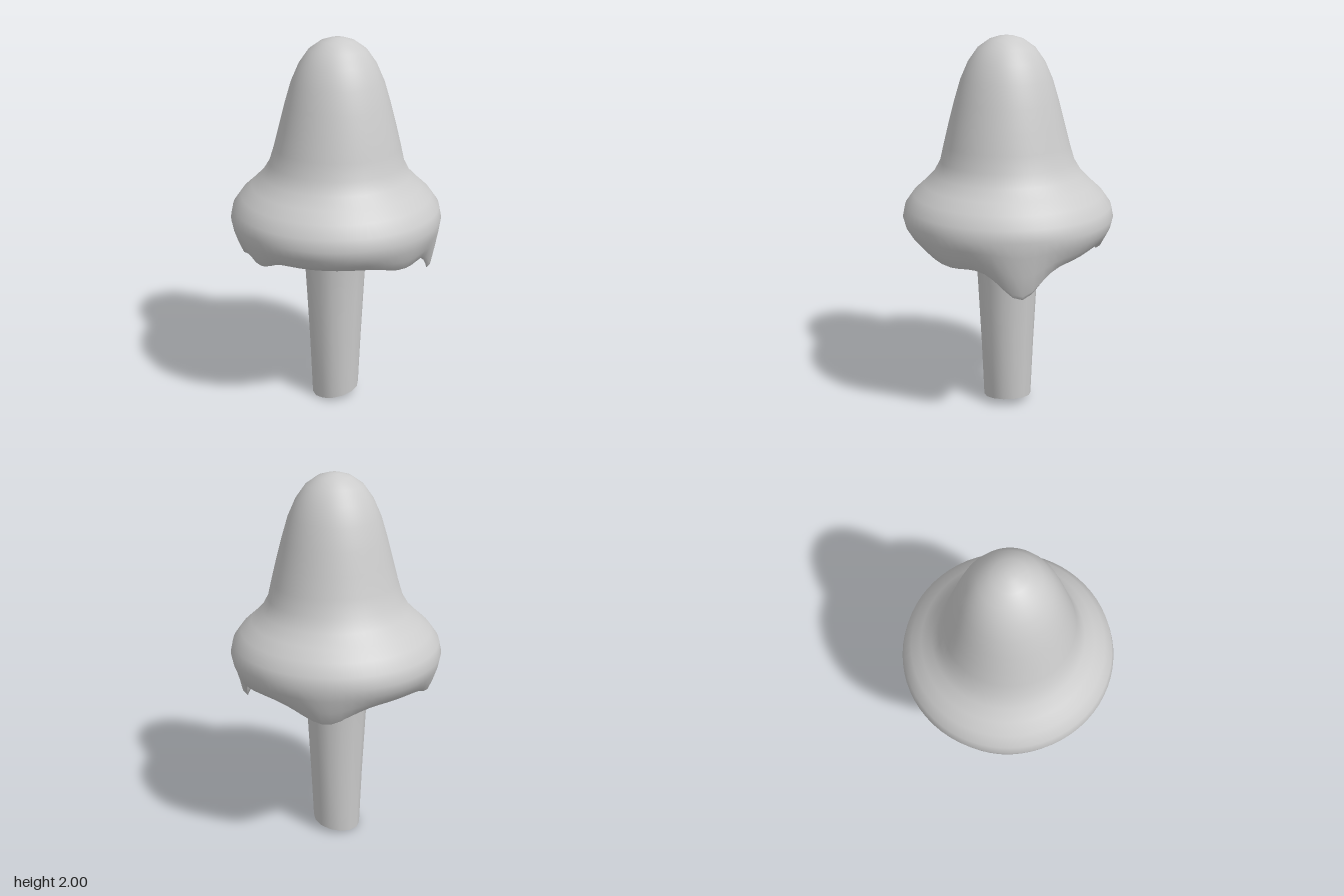
import * as THREE from 'three';
import { mergeVertices } from 'three/addons/utils/BufferGeometryUtils.js';

const material = new THREE.MeshStandardMaterial({ color: 0xcccccc, side: THREE.DoubleSide });

// Drips along the cap rim: angle from +z towards +x (degrees), drop, width
const drips = [
  [44, 0.18, 11], [24, 0.02, 9], [0, 0.05, 13], [-97, 0.05, 8],
  [-133, 0.085, 14], [137, 0.09, 13], [72, 0.025, 12],
];

function dripAt(angle) {
  let drop = 0;
  for (const [deg, depth, width] of drips) {
    let d = angle * THREE.MathUtils.RAD2DEG - deg;
    d -= 360 * Math.round(d / 360);
    drop += depth * Math.exp(-0.5 * (d / width) ** 2);
  }
  return drop;
}

// Lathe a profile, move its vertices by a rule, then smooth across the seam
function latheMesh(name, profile, segments, rule) {
  const geo = new THREE.LatheGeometry(profile.map(([r, y]) => new THREE.Vector2(r, y)), segments);
  geo.deleteAttribute('uv');
  geo.deleteAttribute('normal');
  const pos = geo.attributes.position;
  const v = new THREE.Vector3();
  for (let i = 0; i < pos.count; i++) {
    v.fromBufferAttribute(pos, i);
    rule(v, i % profile.length);
    pos.setXYZ(i, v.x, v.y, v.z);
  }
  const merged = mergeVertices(geo, 1e-4);
  merged.computeVertexNormals();
  const mesh = new THREE.Mesh(merged, material);
  mesh.name = name;
  return mesh;
}

export function createModel() {
  const group = new THREE.Group();
  group.name = 'mushroom';

  // Hollow tapered stem with a slanted open foot, flaring into the cap
  const stemProfile = [
    [0.13, 0.027], [0.143, 0.35], [0.158, 0.65], [0.169, 0.85],
    [0.183, 0.94], [0.212, 1.03], [0.255, 1.09], [0.31, 1.125],
  ];
  group.add(latheMesh('stem', stemProfile, 14, (v, row) => {
    if (row === 0) v.y += 0.13 * (v.x + v.z);
    // The shaft sits slightly left of the axis and is a little flatter in depth
    if (row < 5) {
      v.x -= 0.004;
      v.z *= 0.97;
    }
  }));

  // Cap: [radius, height, share of the drip], from hollow underside over the rim to the tip
  const capProfile = [
    [0.3, 1.125, 0], [0.35, 1.128, 0], [0.395, 1.105, 0], [0.432, 1.06, 0.1], [0.452, 1.01, 0.35],
    [0.46, 0.97, 0.75], [0.465, 0.95, 1], [0.485, 0.955, 0.9], [0.513, 0.985, 0.5],
    [0.538, 1.025, 0.15], [0.551, 1.075, 0], [0.538, 1.135, 0], [0.495, 1.195, 0],
    [0.44, 1.245, 0], [0.385, 1.3, 0], [0.348, 1.365, 0], [0.325, 1.45, 0],
    [0.297, 1.56, 0], [0.268, 1.67, 0], [0.235, 1.78, 0], [0.195, 1.87, 0],
    [0.145, 1.94, 0], [0.085, 1.982, 0], [0.035, 1.997, 0], [0, 2, 0],
  ];
  group.add(latheMesh('cap', capProfile, 64, (v, row) => {
    const share = capProfile[row][2];
    if (share > 0) {
      // Long drips hang slightly outward
      const drop = share * dripAt(Math.atan2(v.x, v.z));
      v.x *= 1 + 0.25 * drop;
      v.z *= 1 + 0.25 * drop;
      v.y -= drop;
    }
    // The bell leans slightly forward
    v.z += 0.012 * THREE.MathUtils.smoothstep(v.y, 1.25, 1.5);
  }));

  return group;
}
